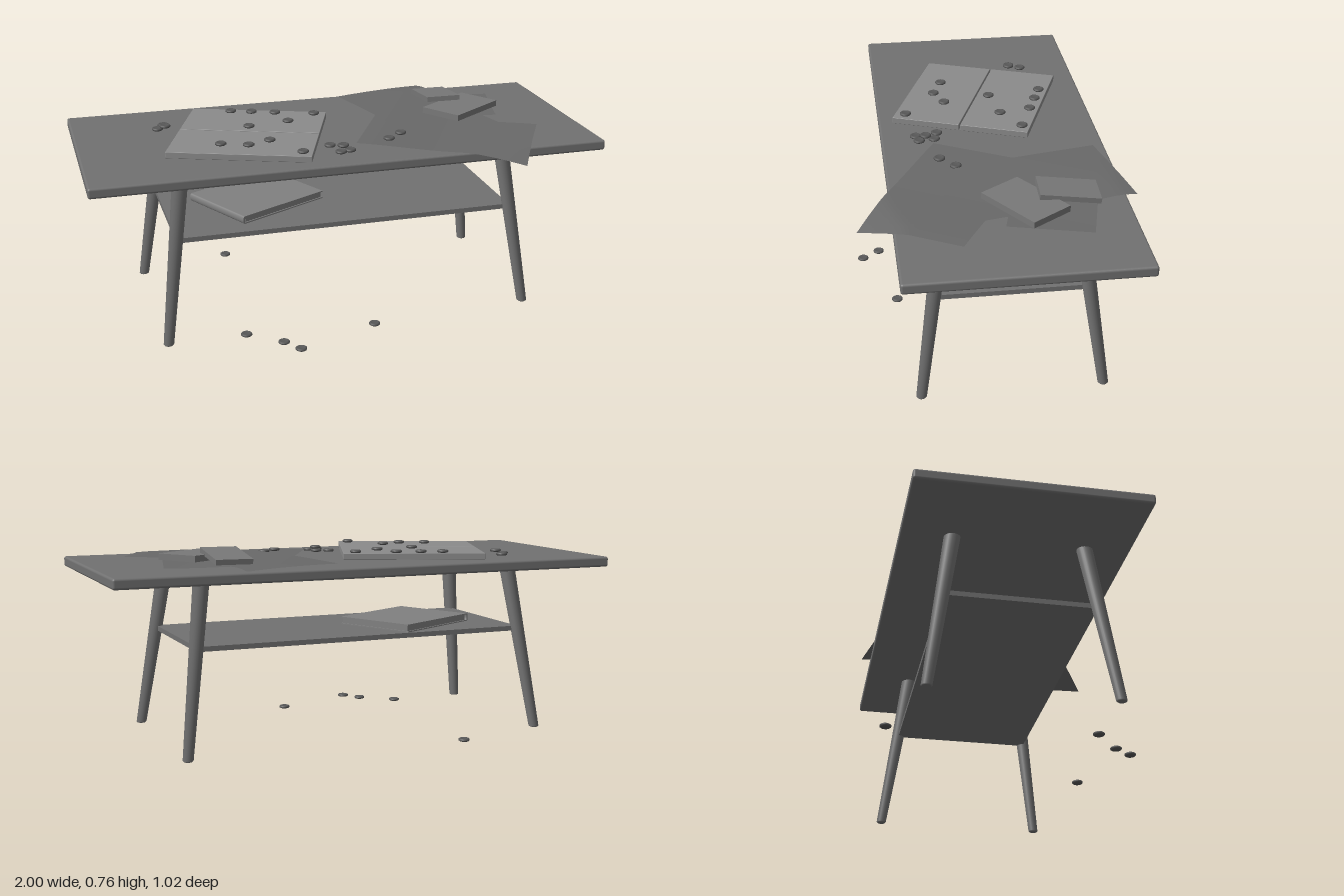
import * as THREE from 'three';
import { RoundedBoxGeometry } from 'three/addons/geometries/RoundedBoxGeometry.js';

const paint = (color, side = THREE.FrontSide) => new THREE.MeshStandardMaterial({ color, side });
const wood = paint(0x717171);
const boardGrey = paint(0x8b8b8b);
const boxGrey = paint(0x787878);
const pieceGrey = paint(0x585858);
const bookGrey = paint(0x808080, THREE.DoubleSide);
const paperGrey = paint(0x696969, THREE.DoubleSide);

const TOP_Y = 0.692;

function add(parent, name, geometry, material, x = 0, y = 0, z = 0) {
  const mesh = new THREE.Mesh(geometry, material);
  mesh.name = name;
  mesh.position.set(x, y, z);
  parent.add(mesh);
  return mesh;
}

// Tapered leg, sheared so both ends stay level
function legGeometry(sx, sz) {
  const profile = [[0, 0], [0.016, 0], [0.02, 0.004], [0.031, 0.65], [0, 0.65]];
  const g = new THREE.LatheGeometry(profile.map(([r, y]) => new THREE.Vector2(r, y)), 24);
  const p = g.attributes.position;
  for (let i = 0; i < p.count; i++) {
    const k = 1 - p.getY(i) / 0.65;
    p.setX(i, p.getX(i) + sx * 0.088 * k);
    p.setZ(i, p.getZ(i) + sz * 0.092 * k);
  }
  return g;
}

// Sheet given by a corner and two edge vectors (x, z); it hangs over the table edges
function paperGeometry([x0, z0], [ux, uz], [vx, vz], height) {
  const g = new THREE.PlaneGeometry(1, 1, 16, 24);
  const p = g.attributes.position;
  for (let i = 0; i < p.count; i++) {
    const u = p.getX(i) + 0.5, v = 0.5 - p.getY(i);
    const x = x0 + u * ux + v * vx, z = z0 + u * uz + v * vz;
    const reach = z + 0.25 * (x - 0.615);
    const drop = 0.037 * Math.pow(Math.max(0, reach - 0.35) / 0.155, 1.2);
    const sag = 0.01 * Math.pow(Math.max(0, -0.44 - z) / 0.075, 1.5);
    const ripple = 0.003 * Math.sin(9 * x + 5 * z);
    p.setXYZ(i, x, height + ripple - drop - sag, z);
  }
  g.computeVertexNormals();
  return g;
}

// Covers, inset pages and a rounded spine on the -x side
function makeBook(name, w, h, d) {
  const book = new THREE.Group();
  book.name = name;
  const c = h * 0.14;
  for (const s of [-1, 1]) {
    add(book, 'cover', new THREE.BoxGeometry(w, c, d), bookGrey, 0, s * (h - c) / 2, 0);
  }
  add(book, 'pages', new THREE.BoxGeometry(w - 0.012, h - 2 * c, d - 0.012), bookGrey);
  const spine = new THREE.CylinderGeometry(h / 2, h / 2, d, 12, 1, false, Math.PI, Math.PI);
  spine.rotateX(Math.PI / 2).scale(0.5, 1, 1);
  add(book, 'spine', spine, bookGrey, -w / 2, 0, 0);
  return book;
}

export function createModel() {
  const model = new THREE.Group();
  model.name = 'coffeeTable';

  // Table
  add(model, 'tableTop', new RoundedBoxGeometry(2, 0.04, 0.86, 3, 0.009), wood, 0, TOP_Y - 0.02, -0.05);
  add(model, 'shelf', new THREE.BoxGeometry(1.34, 0.019, 0.57), wood, -0.007, 0.402, -0.04);
  for (const sx of [-1, 1]) {
    for (const sz of [-1, 1]) {
      add(model, 'leg', legGeometry(sx, sz), wood, -0.007 + sx * 0.638, 0.003, -0.04 + sz * 0.25);
    }
  }

  // Book on the shelf
  const shelfBook = makeBook('shelfBook', 0.405, 0.031, 0.34);
  shelfBook.position.set(-0.295, 0.427, -0.075);
  shelfBook.rotation.y = 0.474;
  model.add(shelfBook);

  // Folding game board, opened flat
  const board = new THREE.Group();
  board.name = 'gameBoard';
  board.position.set(-0.33, TOP_Y + 0.0125, -0.033);
  board.rotation.y = -0.363;
  for (const s of [-1, 1]) {
    add(board, 'boardHalf', new RoundedBoxGeometry(0.553, 0.025, 0.274, 2, 0.002), boardGrey, 0, 0, s * 0.14);
  }
  model.add(board);

  // Game pieces: x, z positions per level
  const piece = new THREE.LatheGeometry(
    [[0, 0], [0.018, 0], [0.022, 0.003], [0.022, 0.008], [0.018, 0.011], [0.014, 0.011], [0.012, 0.009], [0, 0.009]]
      .map(([r, y]) => new THREE.Vector2(r, y)), 16);
  const levels = [
    [TOP_Y + 0.025, [[-0.35, -0.3], [-0.27, -0.27], [-0.18, -0.235], [-0.03, -0.18], [-0.155, -0.11],
      [-0.32, -0.085], [-0.47, 0.1], [-0.37, 0.14], [-0.28, 0.105], [-0.19, 0.27]]],
    [TOP_Y, [[-0.665, -0.22], [-0.635, -0.265], [-0.055, 0.158], [-0.005, 0.172], [-0.035, 0.243], [0.005, 0.232]]],
    [TOP_Y + 0.011, [[-0.635, -0.215], [-0.015, 0.205], [0.18, 0.17], [0.245, 0.115]]],
    [0, [[-0.36, -0.48], [-0.305, 0.4], [-0.255, 0.47], [-0.43, 0.3], [0.075, 0.345]]],
  ];
  for (const [y, spots] of levels) {
    for (const [x, z] of spots) add(model, 'gamePiece', piece, pieceGrey, x, y, z);
  }

  // Loose sheets, lowest first
  const sheets = [
    [[0.24, -0.175], [0.57, 0.325], [-0.195, 0.355], 0.7],
    [[0.375, -0.41], [0.4, 0.1], [-0.075, 0.3], 0.704],
    [[0.145, -0.43], [0.385, -0.085], [0.145, 0.65], 0.708],
  ];
  for (const [corner, u, v, y] of sheets) {
    add(model, 'paperSheet', paperGeometry(corner, u, v, y), paperGrey);
  }

  // Two small boxes, one leaning on the other
  const lower = add(model, 'lowerBox', new THREE.BoxGeometry(0.277, 0.024, 0.176), boxGrey, 0.575, 0.724, -0.097);
  lower.rotation.y = 0.595;
  const leaning = add(model, 'leaningBox', new THREE.BoxGeometry(0.14, 0.02, 0.223), boxGrey, 0.525, 0.734, -0.26);
  leaning.rotation.set(-0.12, -0.035, 0);

  return model;
}
